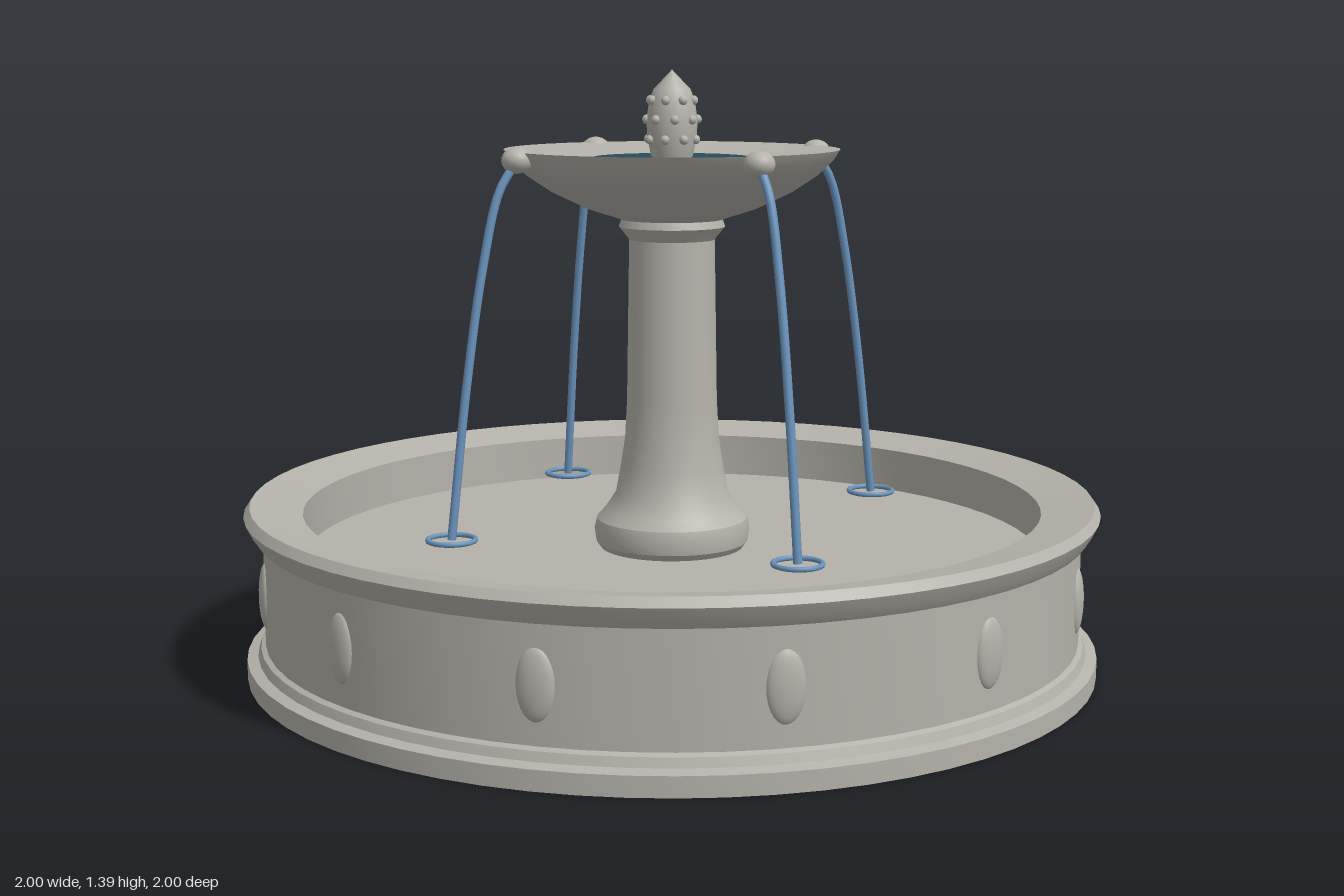
import * as THREE from 'three';
import { toCreasedNormals } from 'three/addons/utils/BufferGeometryUtils.js';

function material(name, color) {
  const m = new THREE.MeshStandardMaterial({ color });
  m.name = name;
  return m;
}

export function createModel() {
  const root = new THREE.Group();
  root.name = 'fountain';
  const stone = material('stone', 0xb4b2aa);
  const pool = material('poolWater', 0x284d5b);
  const spray = material('sprayWater', 0x6a94bc);

  const add = (name, geometry, mat, parent = root) => {
    const mesh = new THREE.Mesh(geometry, mat);
    mesh.name = name;
    parent.add(mesh);
    return mesh;
  };
  const turned = (points, segments, crease = 0.5) => toCreasedNormals(
    new THREE.LatheGeometry(points.map(([r, y]) => new THREE.Vector2(r, y)), segments), crease);

  // Basin: plinth, wall, moulded rim sloping inward, inner wall and floor
  add('basin', turned([
    [0, 0], [1, 0], [1, 0.045], [0.975, 0.052], [0.968, 0.072], [0.957, 0.078],
    [0.957, 0.33], [0.972, 0.332], [0.985, 0.35], [1, 0.38], [0.986, 0.4],
    [0.865, 0.377], [0.865, 0.27], [0, 0.27],
  ], 64), stone);

  // Oval bosses around the basin wall
  const bosses = new THREE.Group();
  bosses.name = 'basinBosses';
  root.add(bosses);
  const bossGeometry = new THREE.SphereGeometry(1, 20, 14);
  for (let i = 0; i < 12; i++) {
    const a = (i / 12) * Math.PI * 2;
    const boss = add('boss', bossGeometry, stone, bosses);
    boss.position.set(Math.sin(a) * 0.953, 0.203, Math.cos(a) * 0.953);
    boss.rotation.y = a;
    boss.scale.set(0.042, 0.078, 0.018);
  }

  // Column with bulging foot and capital
  add('column', turned([
    [0.165, 0.265], [0.18, 0.285], [0.184, 0.315], [0.178, 0.34], [0.158, 0.362],
    [0.133, 0.4], [0.122, 0.46], [0.111, 0.53], [0.106, 0.62], [0.1, 1.0],
    [0.106, 1.008], [0.124, 1.03], [0.118, 1.048], [0.1, 1.06],
  ], 40), stone);

  // Upper bowl, shallow inside
  add('upperBowl', turned([
    [0, 1.045], [0.115, 1.046], [0.2, 1.074], [0.28, 1.112], [0.34, 1.152],
    [0.375, 1.186], [0.39, 1.21], [0.18, 1.188], [0, 1.17],
  ], 56, 0.6), stone);

  const bowlWater = add('bowlWater', new THREE.CircleGeometry(0.182, 48), pool);
  bowlWater.rotation.x = -Math.PI / 2;
  bowlWater.position.y = 1.191;

  // Studded finial with a pointed tip
  const finial = new THREE.Group();
  finial.name = 'finial';
  root.add(finial);
  add('finialBody', turned([
    [0.04, 1.165], [0.05, 1.2], [0.058, 1.24], [0.059, 1.28], [0.053, 1.32],
    [0.043, 1.347], [0, 1.392],
  ], 24, 0.7), stone, finial);
  const studGeometry = new THREE.SphereGeometry(0.011, 10, 8);
  [[1.232, 0.057], [1.278, 0.059], [1.322, 0.052]].forEach(([y, r], row) => {
    for (let i = 0; i < 8; i++) {
      const a = ((i + (row % 2) / 2) / 8) * Math.PI * 2;
      add('stud', studGeometry, stone, finial).position.set(Math.cos(a) * r, y, Math.sin(a) * r);
    }
  });

  // Four spouts, each with a falling jet and a ripple; s is the offset along x and z
  const jetPath = [[0.28, 1.19], [0.31, 1.125], [0.34, 0.955], [0.37, 0.695], [0.4, 0.345]];
  const spoutGeometry = new THREE.SphereGeometry(0.035, 20, 14);
  const rippleGeometry = new THREE.TorusGeometry(0.054, 0.006, 8, 32);
  for (const sx of [1, -1]) for (const sz of [1, -1]) {
    const spout = add('spout', spoutGeometry, stone);
    spout.position.set(sx * 0.279, 1.193, sz * 0.279);
    spout.scale.y = 0.85;
    const curve = new THREE.CatmullRomCurve3(
      jetPath.map(([s, y]) => new THREE.Vector3(sx * s, y, sz * s)));
    add('waterJet', new THREE.TubeGeometry(curve, 28, 0.01, 10), spray);
    const ripple = add('ripple', rippleGeometry, spray);
    ripple.rotation.x = Math.PI / 2;
    ripple.position.set(sx * 0.4, 0.345, sz * 0.4);
  }
  return root;
}
